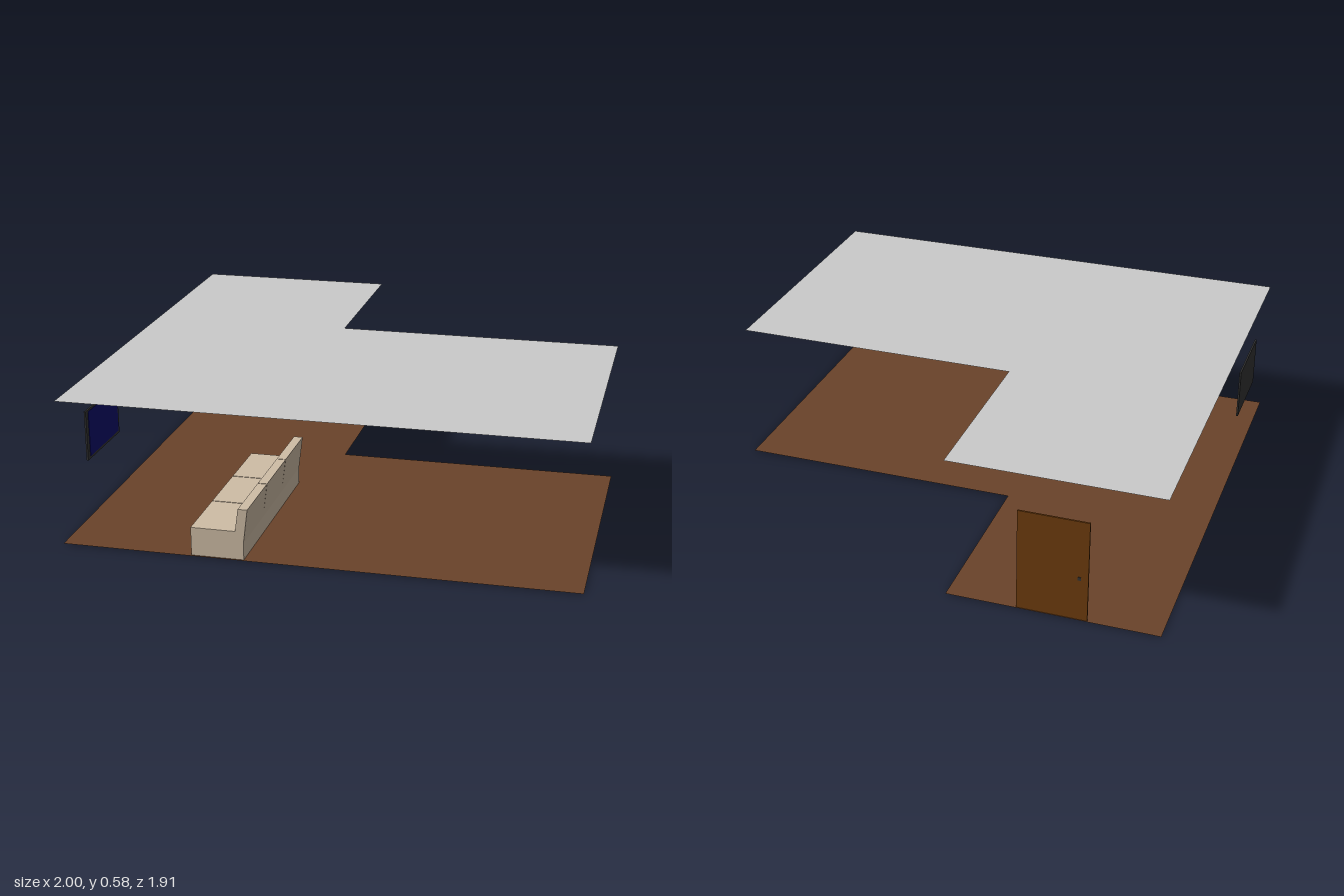
import * as THREE from 'three';

const material = (name, color, side = THREE.FrontSide) => {
  const m = new THREE.MeshStandardMaterial({ color, side });
  m.name = name;
  return m;
};

export function createModel() {
  const room = new THREE.Group();
  room.name = 'room';

  const wood = material('floor brown', 0x6a432a, THREE.DoubleSide);
  const plaster = material('ceiling grey', 0xcacaca, THREE.DoubleSide);
  const doorBrown = material('door brown', 0x6c3b0d);
  const fabric = material('sofa beige', 0xcfbda6);
  const dark = material('dark grey', 0x333333);
  const navy = material('screen navy', 0x0a0a6a);

  const add = (parent, name, geometry, mat) => {
    const mesh = new THREE.Mesh(geometry, mat);
    mesh.name = name;
    parent.add(mesh);
    return mesh;
  };
  // Box given by its minimum and maximum corners
  const box = (parent, name, mat, [x0, y0, z0], [x1, y1, z1]) =>
    add(parent, name, new THREE.BoxGeometry(x1 - x0, y1 - y0, z1 - z0), mat)
      .position.set((x0 + x1) / 2, (y0 + y1) / 2, (z0 + z1) / 2);
  const polygon = (points) => new THREE.Shape(points.map(([x, y]) => new THREE.Vector2(x, y)));

  // L-shaped floor and ceiling sheets
  const plan = polygon([
    [-1, -0.955], [1, -0.955], [1, 0.21], [-0.165, 0.21], [-0.165, 0.955], [-1, 0.955],
  ]);
  const sheet = (name, mat, y) => {
    const geometry = new THREE.ShapeGeometry(plan).rotateX(-Math.PI / 2);
    add(room, name, geometry, mat).position.y = y;
  };
  sheet('floor', wood, 0.003);
  sheet('ceiling', plaster, 0.583);

  // Door with a lever handle and its spindle
  const door = new THREE.Group();
  door.name = 'door';
  room.add(door);
  box(door, 'doorLeaf', doorBrown, [-0.72, 0.005, -0.953], [-0.445, 0.428, -0.946]);
  box(door, 'handleLever', dark, [-0.692, 0.179, -0.941], [-0.64, 0.192, -0.935]);
  box(door, 'handleSpindle', dark, [-0.692, 0.179, -0.956], [-0.68, 0.192, -0.937]);

  // Wall screen facing +x
  const television = new THREE.Group();
  television.name = 'television';
  room.add(television);
  box(television, 'screenFrame', dark, [-1, 0.243, 0.347], [-0.993, 0.448, 0.685]);
  box(television, 'screenPanel', navy, [-0.994, 0.254, 0.36], [-0.991, 0.44, 0.662]);

  // Sofa: three extruded sections with narrow seams over a slightly smaller core
  const sofa = new THREE.Group();
  sofa.name = 'sofa';
  room.add(sofa);
  const sofaSlice = (name, inset, z0, z1) => {
    const profile = polygon([
      [-0.485 + inset, 0], [-0.278, 0], [-0.278, 0.07], [-0.26, 0.208 - inset],
      [-0.297 + inset, 0.208 - inset], [-0.31 + inset, 0.117 - inset], [-0.485 + inset, 0.117 - inset],
    ]);
    const geometry = new THREE.ExtrudeGeometry(profile, { depth: z1 - z0, bevelEnabled: false });
    add(sofa, name, geometry, fabric).position.z = z0;
  };
  const start = 0.151, end = 0.947, seam = 0.004;
  const width = (end - start - 2 * seam) / 3;
  for (let i = 0; i < 3; i++) {
    const z = start + i * (width + seam);
    sofaSlice('sofaSection', 0, z, z + width);
    if (i < 2) sofaSlice('sofaSeam', 0.006, z + width, z + width + seam);
  }

  return room;
}
